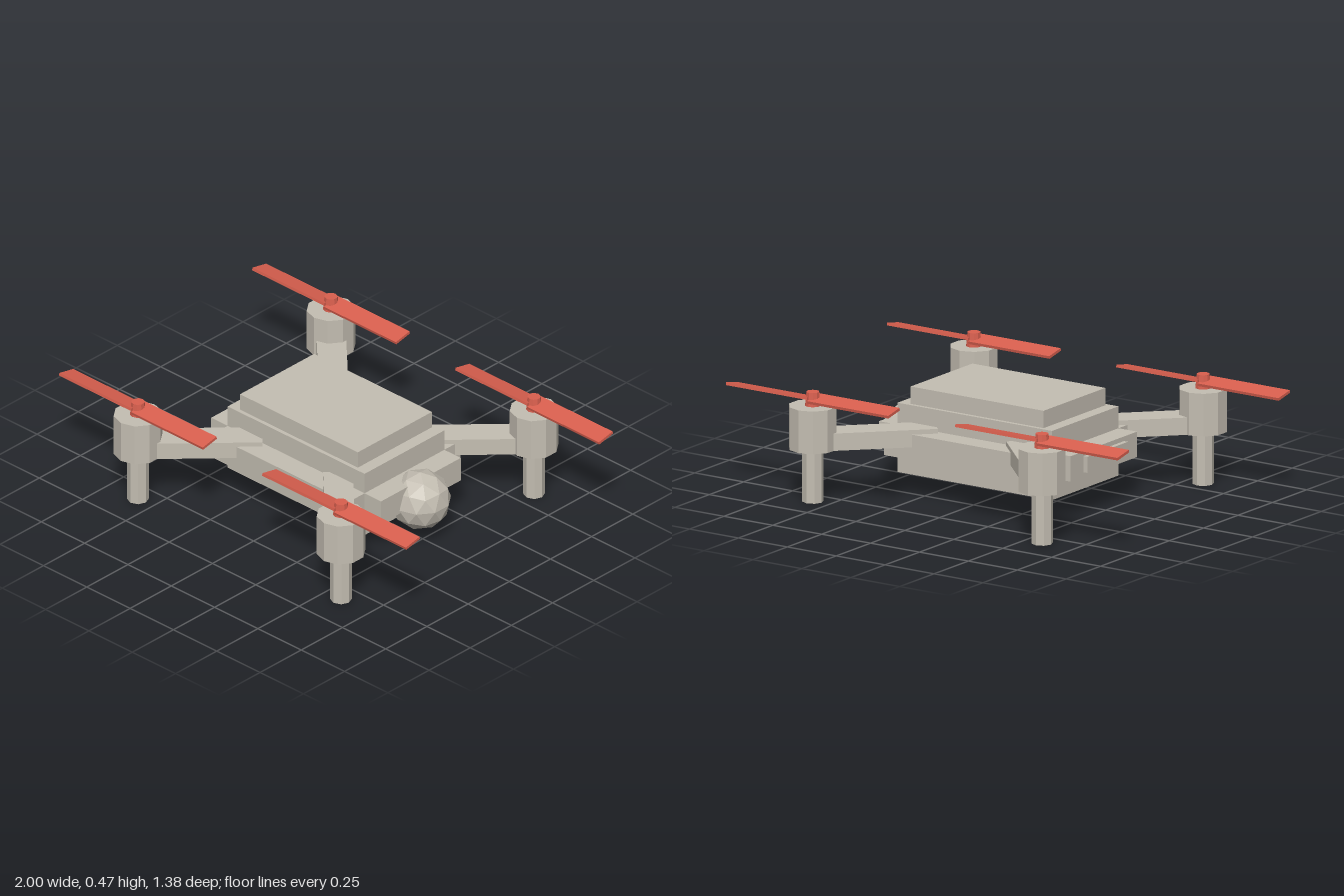
import * as THREE from 'three';

export function createModel() {
  const model = new THREE.Group();
  model.name = 'quadcopter';

  const shellGrey = new THREE.MeshStandardMaterial({ color: 0xc4beb2, flatShading: true });
  shellGrey.name = 'shell grey';
  const rotorRed = new THREE.MeshStandardMaterial({ color: 0xd95f4e, flatShading: true });
  rotorRed.name = 'rotor red';

  const add = (parent, name, geometry, material, x, y, z) => {
    const mesh = new THREE.Mesh(geometry, material);
    mesh.name = name;
    mesh.position.set(x, y, z);
    parent.add(mesh);
    return mesh;
  };
  const box = (w, h, d) => new THREE.BoxGeometry(w, h, d);

  // Stepped body
  const body = new THREE.Group();
  body.name = 'body';
  model.add(body);
  add(body, 'core', box(0.79, 0.3, 0.484), shellGrey, 0, 0.23, 0);
  add(body, 'sidePanels', box(0.79, 0.11, 0.68), shellGrey, 0, 0.23, 0);
  add(body, 'endPanels', box(0.98, 0.11, 0.484), shellGrey, 0, 0.23, 0);
  add(body, 'topPlate', box(0.68, 0.075, 0.45), shellGrey, 0, 0.4175, 0);
  add(body, 'endHatch', box(0.03, 0.07, 0.295), shellGrey, -0.495, 0.23, 0);

  // Faceted camera ball with a vertex pointing straight up
  const ball = new THREE.IcosahedronGeometry(0.13, 1);
  ball.rotateX(-Math.atan((1 + Math.sqrt(5)) / 2));
  ball.rotateY(-Math.PI / 2);
  add(model, 'cameraBall', ball, shellGrey, 0.487, 0.19, 0);

  // Shared geometry of the four rotor units
  const reach = 0.586;
  const armGeometry = box(0.52, 0.075, 0.124);
  const motorGeometry = new THREE.CylinderGeometry(0.1035, 0.1035, 0.185, 10);
  const legGeometry = new THREE.CylinderGeometry(0.0455, 0.0455, 0.23, 8);
  const hubGeometry = new THREE.CylinderGeometry(0.028, 0.034, 0.06, 10);
  const bladeGeometry = box(0.415, 0.012, 0.085);

  for (const sx of [-1, 1]) {
    for (const sz of [-1, 1]) {
      const unit = new THREE.Group();
      unit.name = (sz > 0 ? 'front' : 'back') + (sx > 0 ? 'Left' : 'Right') + 'Rotor';
      unit.position.set(sx * reach, 0, sz * reach);
      model.add(unit);

      // Diagonal arm running back into the body
      const arm = add(unit, 'arm', armGeometry, shellGrey, -sx * 0.184, 0.2675, -sz * 0.184);
      arm.rotation.y = -sx * sz * Math.PI / 4;

      add(unit, 'motor', motorGeometry, shellGrey, 0, 0.3225, 0);
      add(unit, 'leg', legGeometry, shellGrey, 0, 0.115, 0);
      add(unit, 'hub', hubGeometry, rotorRed, 0, 0.445, 0);

      // Two blades pitched in opposite directions
      for (const side of [-1, 1]) {
        const blade = add(unit, 'blade', bladeGeometry, rotorRed, side * 0.2075, 0.445, 0);
        blade.rotation.x = side * 0.2;
      }
    }
  }
  return model;
}
